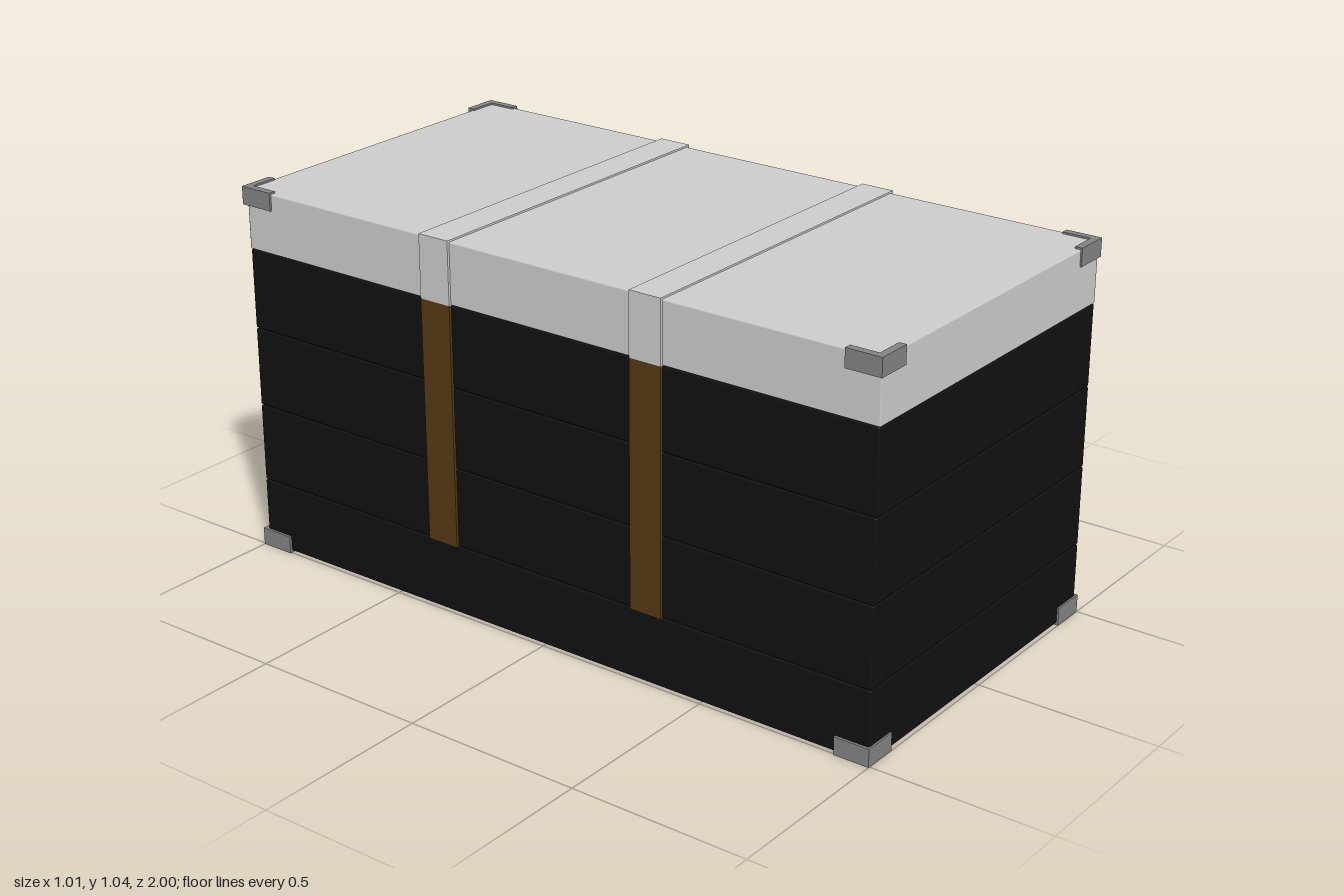
import * as THREE from 'three';
import { RoundedBoxGeometry } from 'three/addons/geometries/RoundedBoxGeometry.js';

const material = (color) => new THREE.MeshStandardMaterial({ color });
const grey = material(0xcccccc);
const black = material(0x111111);
const brown = material(0x553814);
const iron = material(0x828282);
const steel = material(0xacacac);

function add(parent, name, geometry, mat, x = 0, y = 0, z = 0) {
  const mesh = new THREE.Mesh(geometry, mat);
  mesh.name = name;
  mesh.position.set(x, y, z);
  parent.add(mesh);
  return mesh;
}

// Box given by its height range, with thin softened edges
function slab(w, y0, y1, d) {
  return new RoundedBoxGeometry(w, y1 - y0, d, 1, 0.004).translate(0, (y0 + y1) / 2, 0);
}

// L-shaped corner guard, standing on y = 0, outer corner at the origin
function guardGeometry(sx, sz, height) {
  const a = 0.1, t = 0.021;
  const pts = [[0, 0], [a, 0], [a, t], [t, t], [t, a], [0, a]];
  const shape = new THREE.Shape(pts.map(([u, v]) => new THREE.Vector2(-sx * u, sz * v)));
  return new THREE.ExtrudeGeometry(shape, { depth: height, bevelEnabled: false }).rotateX(-Math.PI / 2);
}

function octagon(w, h, c) {
  return new THREE.Shape([
    [-w + c, -h], [w - c, -h], [w, -h + c], [w, h - c],
    [w - c, h], [-w + c, h], [-w, h - c], [-w, -h + c],
  ].map(([u, v]) => new THREE.Vector2(u, v)));
}

export function createModel() {
  const model = new THREE.Group();
  model.name = 'chest';

  // Box and lid sit a hair off centre within the corner guards
  const chest = new THREE.Group();
  chest.name = 'chestBox';
  chest.position.set(-0.003, 0, 0.004);
  model.add(chest);

  // Planked body around a slightly smaller core
  add(chest, 'bodyCore', new THREE.BoxGeometry(0.978, 0.85, 1.97), black, 0, 0.435, 0);
  const seams = [0.005, 0.2, 0.422, 0.646, 0.872];
  for (let i = 0; i < 4; i++) {
    add(chest, 'plank' + (i + 1), slab(0.99, seams[i] + 0.001, seams[i + 1] - 0.001, 1.982), black);
  }
  add(chest, 'lid', slab(0.992, 0.872, 1.04, 1.984), grey);

  // Straps: grey over the lid, brown down the sides
  for (const z of [0.3325, -0.3325]) {
    add(chest, 'lidStrap', new THREE.BoxGeometry(1.006, 0.173, 0.095), grey, 0, 0.9585, z);
    for (const s of [1, -1]) {
      add(chest, 'sideStrap', new THREE.BoxGeometry(0.012, 0.672, 0.095), brown, s * 0.497, 0.536, z);
    }
  }

  // Corner guards on all eight corners
  for (const sx of [1, -1]) {
    for (const sz of [1, -1]) {
      const g = guardGeometry(sx, sz, 0.05);
      if (sx * sz > 0) {
        // mirrored outlines are rewound by the extrusion, so faces stay outward
        g.computeVertexNormals();
      }
      add(model, 'topCornerGuard', g, iron, -0.0025 + sx * 0.5025, 0.995, sz);
      add(model, 'bottomCornerGuard', g, iron, -0.0025 + sx * 0.5025, 0, sz);
    }
  }

  // Lock plate with keyhole on the left side
  const lock = new THREE.Group();
  lock.name = 'lock';
  lock.position.set(0.488, 0.853, 0.003);
  lock.rotation.y = Math.PI / 2;
  model.add(lock);

  const plate = octagon(0.048, 0.076, 0.017);
  const hole = new THREE.Path();
  hole.moveTo(-0.012, -0.048);
  hole.lineTo(0.012, -0.048);
  hole.lineTo(0.012, 0.014);
  hole.absarc(0, 0.031, 0.022, -0.9, Math.PI + 0.9, false);
  hole.closePath();
  plate.holes.push(hole);
  add(lock, 'lockPlate', new THREE.ExtrudeGeometry(plate, {
    depth: 0.013, bevelThickness: 0.003, bevelSize: 0.003, bevelOffset: -0.003, bevelSegments: 1, curveSegments: 10,
  }), steel);
  add(lock, 'keyholeBacking', new THREE.ExtrudeGeometry(octagon(0.044, 0.072, 0.017), {
    depth: 0.008, bevelEnabled: false,
  }), steel);

  return model;
}
